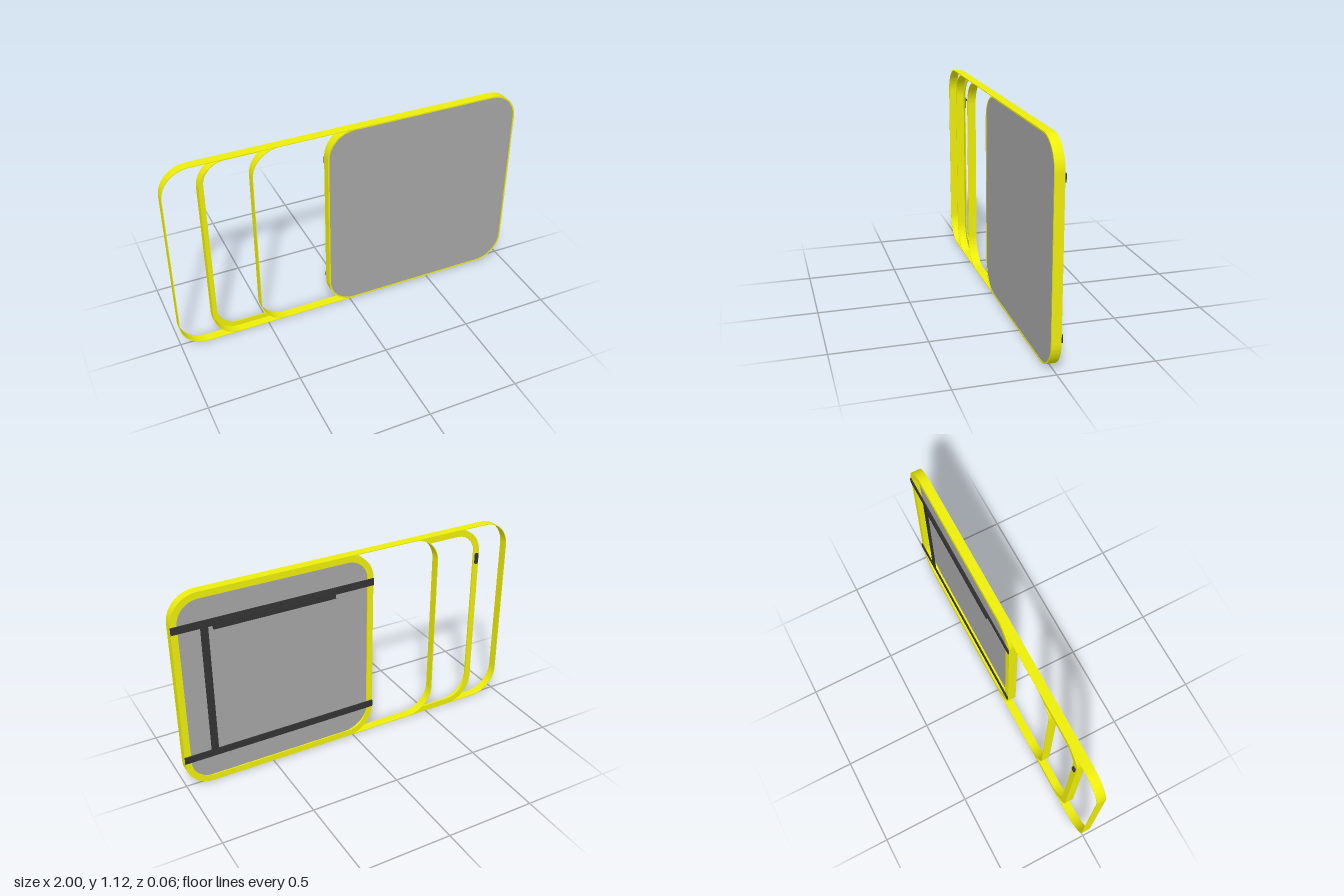
import * as THREE from 'three';
import { toCreasedNormals } from 'three/addons/utils/BufferGeometryUtils.js';

const H = 1.125, R = 0.155;            // overall height and corner radius
const BACK = -0.02, FRONT = 0.03;      // depth of the frames
const WALL = 0.004, LIP = 0.036;       // wall thickness and width of the rear lip
const PI = Math.PI;

const yellow = new THREE.MeshStandardMaterial({ color: 0xecec0a });
const grey = new THREE.MeshStandardMaterial({ color: 0xa4a4a4 });
const dark = new THREE.MeshStandardMaterial({ color: 0x333333 });

// Closed rounded rectangle
function roundedRect(path, x0, y0, x1, y1, r) {
  path.moveTo(x0 + r, y0);
  path.lineTo(x1 - r, y0);
  path.absarc(x1 - r, y0 + r, r, -PI / 2, 0, false);
  path.lineTo(x1, y1 - r);
  path.absarc(x1 - r, y1 - r, r, 0, PI / 2, false);
  path.lineTo(x0 + r, y1);
  path.absarc(x0 + r, y1 - r, r, PI / 2, PI, false);
  path.lineTo(x0, y0 + r);
  path.absarc(x0 + r, y0 + r, r, PI, 1.5 * PI, false);
  return path;
}

// Closed ring of the given width
function ring(x0, x1, width) {
  const shape = roundedRect(new THREE.Shape(), x0, 0, x1, H, R);
  shape.holes.push(roundedRect(new THREE.Path(), x0 + width, width, x1 - width, H - width, R - width));
  return shape;
}

// C-shaped strip, open towards +x. With nextX the ends follow the
// rounded corners of the neighbouring frame that starts there.
function strip(x0, x1, width, nextX) {
  const s = new THREE.Shape();
  const cx = x0 + R, r = R - width;
  s.moveTo(x1, H);
  s.lineTo(cx, H);
  s.absarc(cx, H - R, R, PI / 2, PI, false);
  s.lineTo(x0, R);
  s.absarc(cx, R, R, PI, 1.5 * PI, false);
  s.lineTo(x1, 0);
  const cut = Math.asin((R - width) / R);
  if (nextX !== undefined) s.absarc(nextX + R, R, R, 1.5 * PI, PI + cut, true);
  else s.lineTo(x1, width);
  s.lineTo(cx, width);
  s.absarc(cx, R, r, 1.5 * PI, PI, true);
  s.lineTo(x0 + width, H - R);
  s.absarc(cx, H - R, r, PI, PI / 2, true);
  if (nextX !== undefined) s.absarc(nextX + R, H - R, R, PI - cut, PI / 2, true);
  else s.lineTo(x1, H - width);
  return s;
}

function extrude(name, shape, z0, z1, material) {
  let g = new THREE.ExtrudeGeometry(shape, { depth: z1 - z0, bevelEnabled: false, curveSegments: 16 });
  g.translate(0, 0, z0);
  g = toCreasedNormals(g, 0.6);
  const mesh = new THREE.Mesh(g, material);
  mesh.name = name;
  return mesh;
}

function box(name, x0, x1, y0, y1, z0, z1) {
  const mesh = new THREE.Mesh(new THREE.BoxGeometry(x1 - x0, y1 - y0, z1 - z0), dark);
  mesh.position.set((x0 + x1) / 2, (y0 + y1) / 2, (z0 + z1) / 2);
  mesh.name = name;
  return mesh;
}

export function createModel() {
  const model = new THREE.Group();
  model.name = 'slidingWindow';

  // Thin curved bands, each running up to the next one
  model.add(
    extrude('outerBand', strip(-1, -0.65, WALL), BACK, FRONT, yellow),
    extrude('middleBand', strip(-0.81, -0.38, WALL), BACK, FRONT, yellow),
    extrude('innerBand', strip(-0.535, 0.03, WALL), BACK, FRONT, yellow),
    extrude('middleLip', strip(-0.81, -0.38, LIP, -0.535), BACK, BACK + 0.004, yellow)
  );

  // Panel frame: wall with a rear lip, and the panel near the front
  model.add(
    extrude('panelFrame', ring(-0.125, 1, 0.008), BACK, FRONT, yellow),
    extrude('panelLip', ring(-0.125, 1, LIP), BACK, BACK + 0.004, yellow),
    extrude('panel', roundedRect(new THREE.Shape(), -0.118, 0.007, 0.993, H - 0.007, R - 0.007), 0.021, 0.028, grey)
  );

  // Rails and brace on the back
  model.add(
    box('lowerRail', -0.125, 1, 0.16, 0.2, -0.026, BACK),
    box('upperRail', -0.125, 1, 0.928, 0.968, -0.026, BACK),
    box('uprightBrace', 0.81, 0.85, 0.2, 0.928, -0.025, BACK),
    box('slideBar', 0.105, 0.785, 0.908, 0.94, -0.031, -0.02),
    box('slideBarEdge', 0.105, 0.785, 0.94, 0.955, -0.029, -0.02)
  );

  // Small latch on the middle lip
  const latch = new THREE.Group();
  latch.name = 'latch';
  const plate = roundedRect(new THREE.Shape(), -0.804, 0.9, -0.782, 0.965, 0.01);
  latch.add(extrude('latchPlate', plate, -0.026, BACK, dark));
  const knob = new THREE.Mesh(new THREE.CylinderGeometry(0.009, 0.009, 0.006, 20), dark);
  knob.rotation.x = PI / 2;
  knob.position.set(-0.793, 0.95, -0.028);
  knob.name = 'latchKnob';
  latch.add(knob);
  model.add(latch);

  return model;
}
